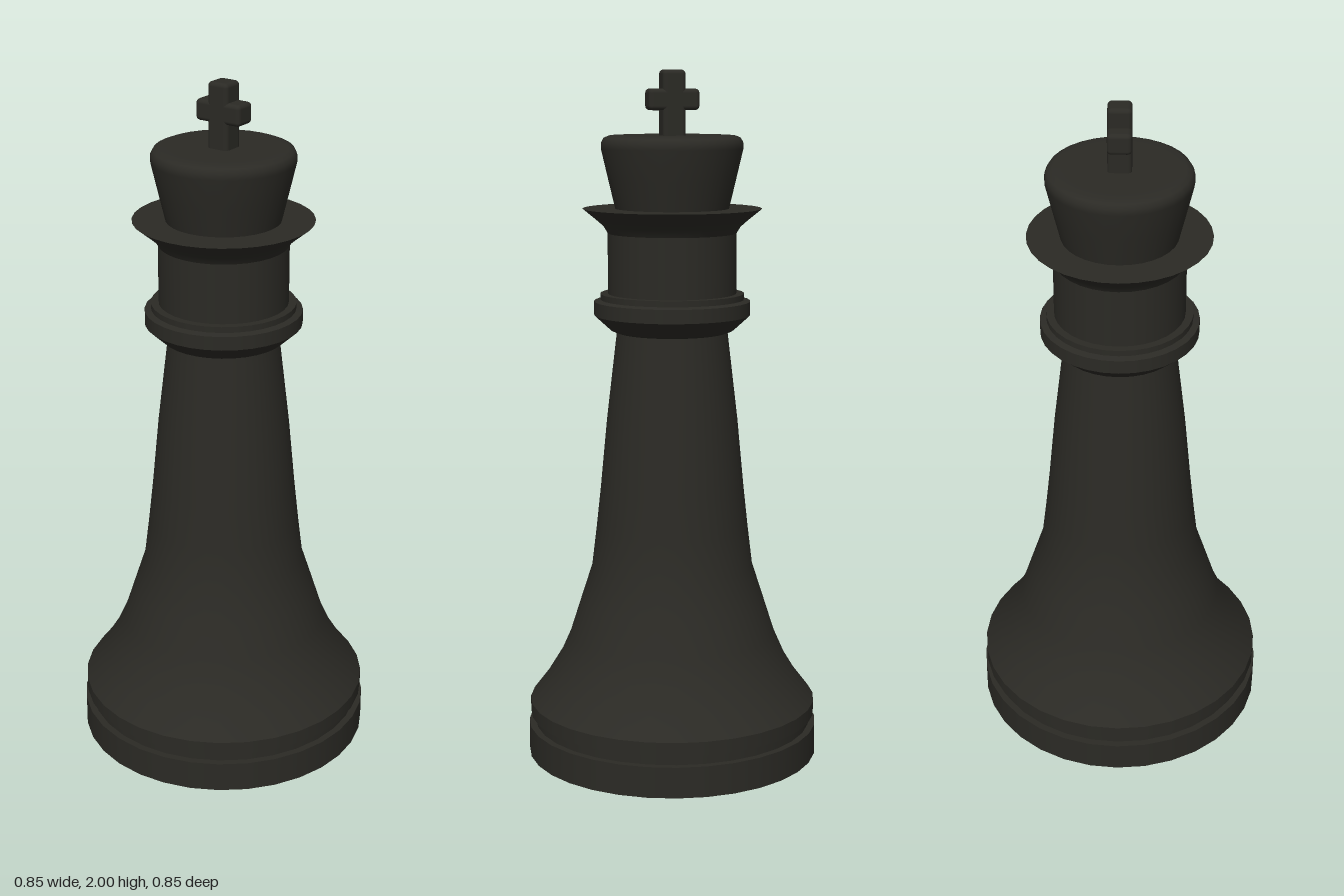
import * as THREE from 'three';
import { RoundedBoxGeometry } from 'three/addons/geometries/RoundedBoxGeometry.js';

const material = new THREE.MeshStandardMaterial({ color: 0x2b2a25 });

// Turned part: each band is a smooth run of [radius, y] points, edges between bands stay sharp
function turned(name, bands) {
  const part = new THREE.Group();
  part.name = name;
  bands.forEach((band, i) => {
    const points = band.map(([r, y]) => new THREE.Vector2(r, y));
    const mesh = new THREE.Mesh(new THREE.LatheGeometry(points, 32), material);
    mesh.name = `${name}Band${i + 1}`;
    part.add(mesh);
  });
  return part;
}

function roundedBar(name, width, height, y) {
  const mesh = new THREE.Mesh(new RoundedBoxGeometry(width, height, 0.066, 3, 0.012), material);
  mesh.name = name;
  mesh.position.y = y;
  return mesh;
}

export function createModel() {
  const model = new THREE.Group();
  model.name = 'chessKing';

  // Foot disc with the groove above it
  model.add(turned('base', [
    [[0, 0], [0.427, 0]],
    [[0.427, 0], [0.427, 0.09]],
    [[0.427, 0.09], [0.407, 0.09]],
    [[0.407, 0.09], [0.407, 0.12]],
  ]));

  // Flared skirt rising into the tapering stem
  model.add(turned('body', [
    [[0.407, 0.12], [0.422, 0.12]],
    [[0.422, 0.12], [0.422, 0.16]],
    [[0.422, 0.16], [0.376, 0.22], [0.333, 0.29], [0.302, 0.36], [0.27, 0.46], [0.236, 0.565],
      [0.222, 0.68], [0.209, 0.8], [0.19, 1.0], [0.16, 1.255]],
  ]));

  // Collar ring
  model.add(turned('collar', [
    [[0.16, 1.255], [0.178, 1.262], [0.225, 1.305]],
    [[0.225, 1.305], [0.225, 1.345]],
    [[0.225, 1.345], [0.207, 1.35]],
    [[0.207, 1.35], [0.207, 1.367]],
    [[0.207, 1.367], [0.185, 1.367]],
  ]));

  // Neck spreading into the thin flange
  model.add(turned('neck', [
    [[0.185, 1.367], [0.185, 1.54]],
    [[0.185, 1.54], [0.197, 1.56], [0.22, 1.58], [0.257, 1.61]],
    [[0.257, 1.61], [0.163, 1.61]],
  ]));

  // Crown with a rounded upper rim
  model.add(turned('crown', [
    [[0.163, 1.61], [0.182, 1.69], [0.203, 1.78], [0.202, 1.797], [0.195, 1.81], [0.18, 1.816], [0.15, 1.816]],
    [[0.15, 1.816], [0, 1.816]],
  ]));

  // Cross finial
  const cross = new THREE.Group();
  cross.name = 'cross';
  cross.add(roundedBar('crossPost', 0.066, 0.2, 1.9));
  cross.add(roundedBar('crossArms', 0.147, 0.06, 1.917));
  model.add(cross);

  return model;
}
